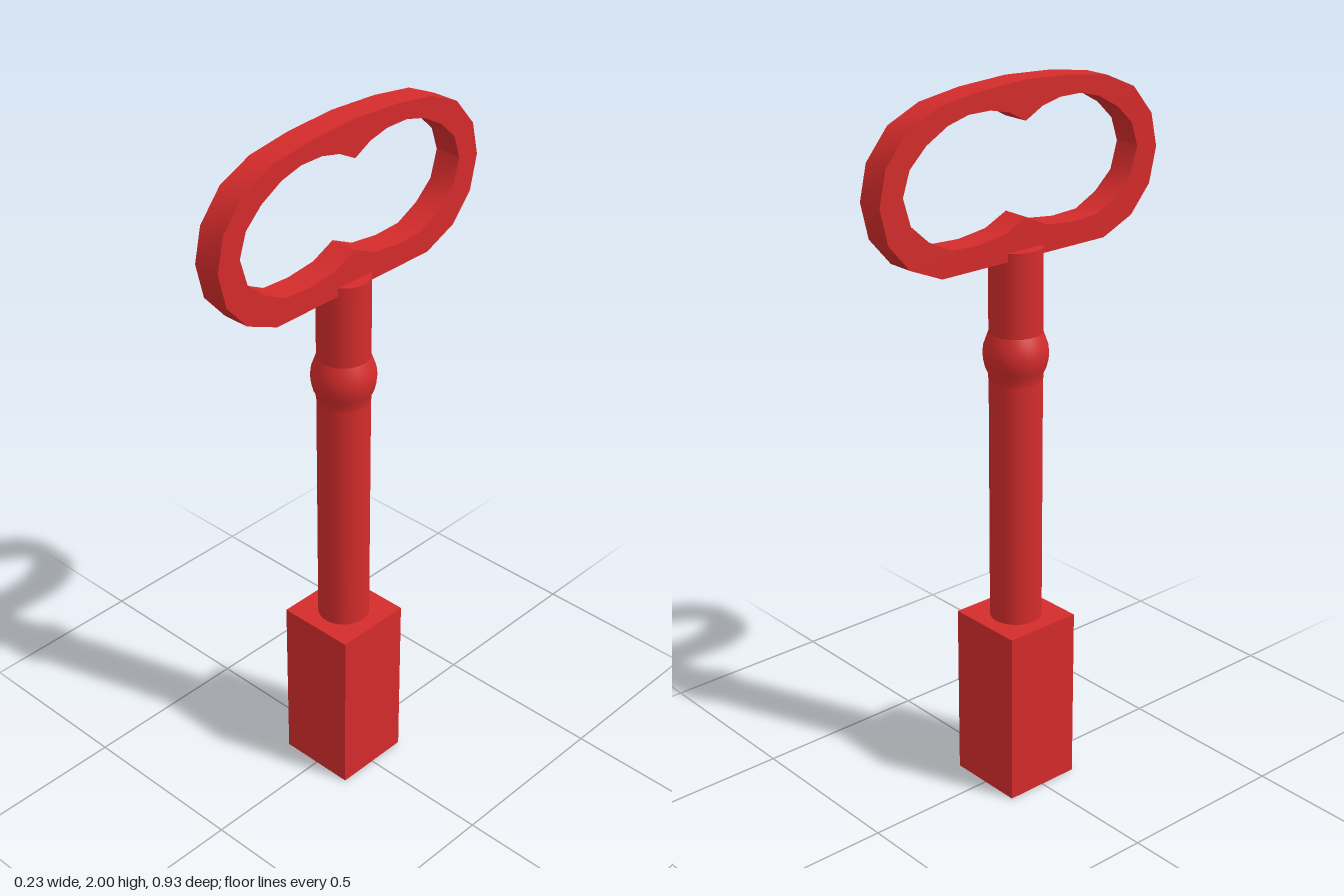
import * as THREE from 'three';
import { toCreasedNormals } from 'three/addons/utils/BufferGeometryUtils.js';

const material = new THREE.MeshStandardMaterial({ color: 0xd42b2b });

function part(name, geometry) {
  const mesh = new THREE.Mesh(geometry, material);
  mesh.name = name;
  return mesh;
}

// Mirrors a half outline, whose points run from top to bottom, into a clockwise loop
function mirrored(half) {
  const right = half.map(([x, y]) => new THREE.Vector2(x, y));
  const left = right.filter((p) => p.x > 0).reverse().map((p) => new THREE.Vector2(-p.x, p.y));
  return [...right, ...left];
}

export function createModel() {
  const group = new THREE.Group();
  group.name = 'key';

  // Square block at the foot
  const block = part('bit', new THREE.BoxGeometry(0.229, 0.503, 0.229));
  block.position.y = 0.2515;
  group.add(block);

  // Round shaft
  const shaft = part('shaft', new THREE.CylinderGeometry(0.072, 0.072, 1.085, 32));
  shaft.position.y = 1.0225;
  group.add(shaft);

  // Swollen collar around the shaft
  const collar = [
    [0.071, 1.2], [0.073, 1.205], [0.074, 1.22], [0.081, 1.235], [0.086, 1.255], [0.088, 1.275],
    [0.086, 1.295], [0.079, 1.315], [0.073, 1.332], [0.071, 1.335],
  ].map(([r, y]) => new THREE.Vector2(r, y));
  group.add(part('collar', new THREE.LatheGeometry(collar, 32)));

  // Flat oval handle, pierced by an opening with a cusp above and below
  const outer = mirrored([
    [0, 2], [0.15, 1.992], [0.278, 1.973], [0.375, 1.93], [0.442, 1.85], [0.463, 1.757],
    [0.44, 1.66], [0.375, 1.585], [0.275, 1.542], [0.06, 1.542],
  ]);
  const opening = mirrored([
    [0, 1.897], [0.055, 1.926], [0.115, 1.94], [0.185, 1.94], [0.25, 1.923], [0.318, 1.885],
    [0.37, 1.835], [0.392, 1.77], [0.37, 1.695], [0.315, 1.645], [0.245, 1.61],
    [0.16, 1.606], [0.07, 1.617], [0, 1.65],
  ]);
  // The opening runs against the outline so that its walls face inwards
  const shape = new THREE.Shape(outer);
  shape.holes.push(new THREE.Path(opening.reverse()));
  const depth = 0.077;
  const handle = new THREE.ExtrudeGeometry(shape, { depth, bevelEnabled: false });
  handle.translate(0, 0, -depth / 2).rotateY(Math.PI / 2);
  group.add(part('handle', toCreasedNormals(handle, 0.6)));

  return group;
}
